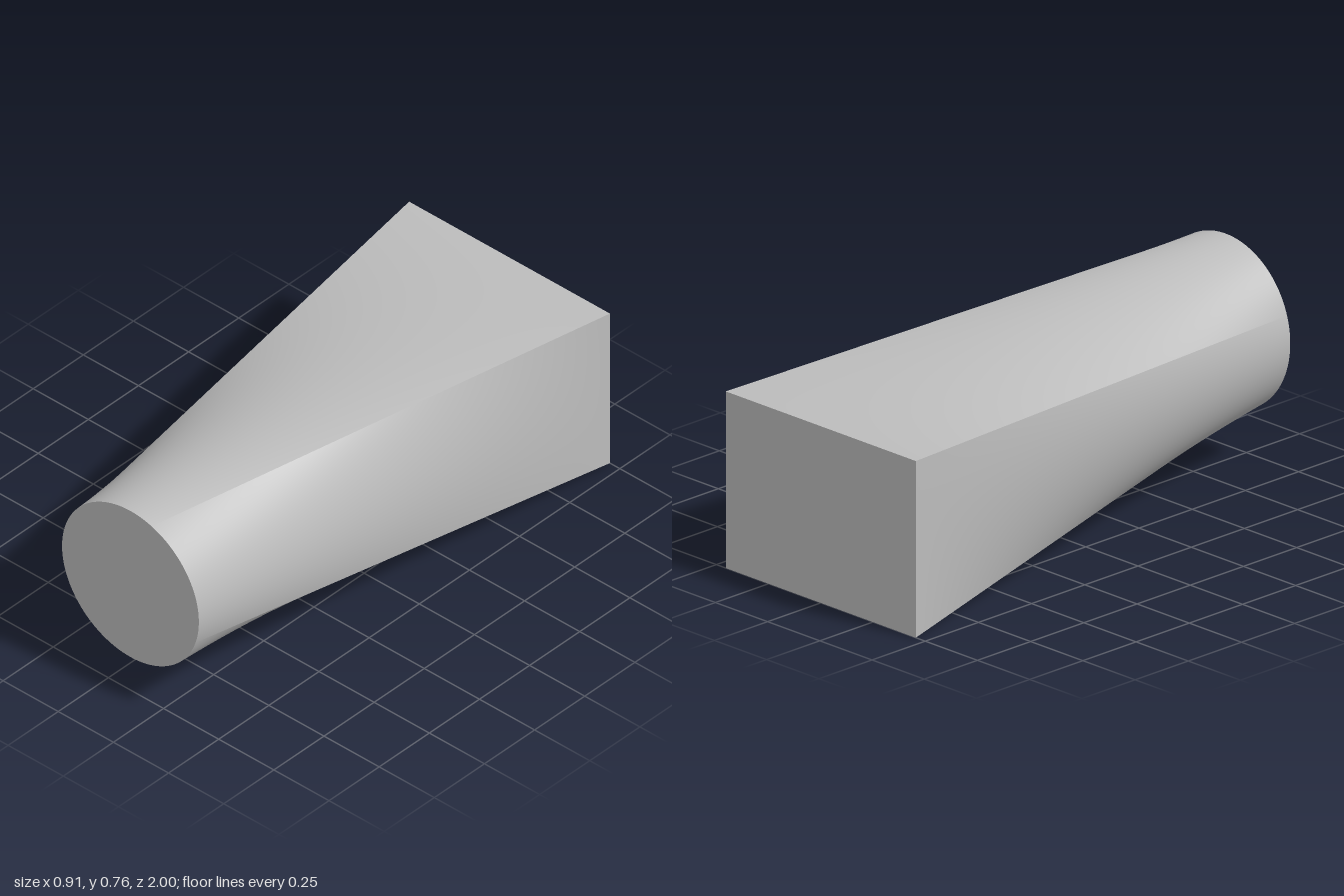
import * as THREE from 'three';
import { ParametricGeometry } from 'three/addons/geometries/ParametricGeometry.js';

const HALF_W = 0.455, HEIGHT = 0.635; // rectangular back end
const CX = 0.1, CY = 0.45, R = 0.31; // round front end
const START = THREE.MathUtils.degToRad(-18); // where the first corner meets the circle

export function createModel() {
  const model = new THREE.Group();
  model.name = 'squareToRoundTransition';
  const grey = new THREE.MeshStandardMaterial({ color: 0xbcbcbc });
  grey.name = 'plain grey';

  const add = (name, geometry) => {
    const mesh = new THREE.Mesh(geometry, grey);
    mesh.name = name;
    model.add(mesh);
    return mesh;
  };

  // Four ruled sides, each joining one rectangle edge to a quarter of the circle
  const corners = [[HALF_W, 0], [HALF_W, HEIGHT], [-HALF_W, HEIGHT], [-HALF_W, 0]]
    .map(([x, y]) => new THREE.Vector3(x, y, -1));
  const names = ['leftSide', 'topSide', 'rightSide', 'bottomSide'];
  const rim = new THREE.Vector3();
  names.forEach((name, i) => {
    const from = corners[i], to = corners[(i + 1) % 4];
    add(name, new ParametricGeometry((u, v, target) => {
      const angle = START + (i + u) * Math.PI / 2;
      rim.set(CX + R * Math.cos(angle), CY + R * Math.sin(angle), 1);
      target.lerpVectors(from, to, u).lerp(rim, v);
    }, 32, 32));
  });

  // Flat ends
  add('roundFrontEnd', new THREE.CircleGeometry(R, 128, START)).position.set(CX, CY, 1);
  const back = add('rectangularBackEnd', new THREE.PlaneGeometry(2 * HALF_W, HEIGHT));
  back.position.set(0, HEIGHT / 2, -1);
  back.rotation.y = Math.PI;

  return model;
}
